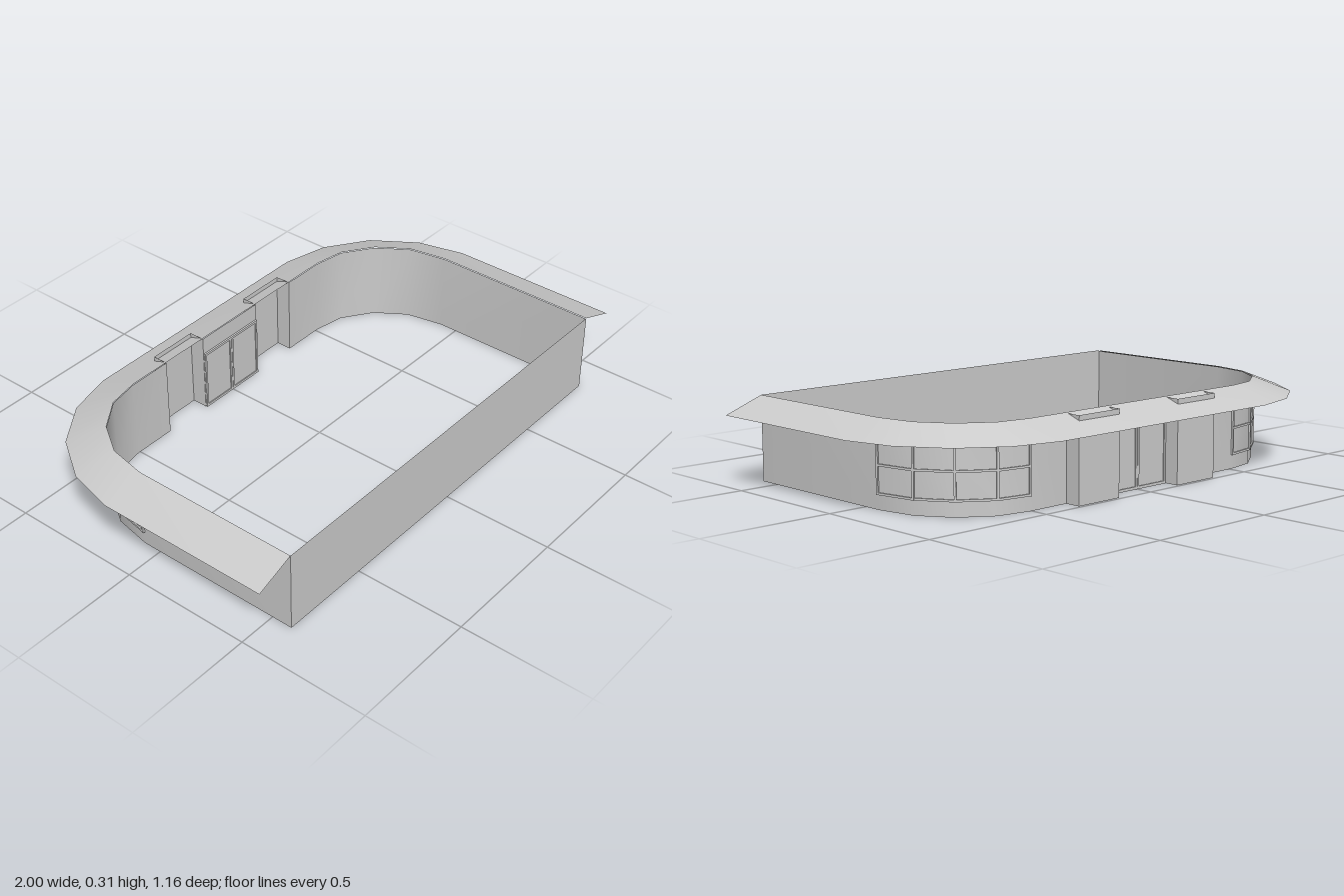
import * as THREE from 'three';
import { toCreasedNormals } from 'three/addons/utils/BufferGeometryUtils.js';

const HEIGHT = 0.31;
const FRONT = 0.58;
const BACK = -0.43;

const material = new THREE.MeshStandardMaterial({ color: 0xcccccc, side: THREE.DoubleSide });

function addMesh(parent, name, geometry) {
  const mesh = new THREE.Mesh(geometry, material);
  mesh.name = name;
  parent.add(mesh);
  return mesh;
}

// Mirror a half path (from +x to the middle) into a full path ending at -x
const mirrored = (half) => [...half, ...half.map(([x, z]) => [-x, z]).reverse()];

// Sheet stretched between two plan paths, each at its own height
function ribbon(pathA, yA, pathB, yB) {
  const positions = [];
  const index = [];
  pathA.forEach(([x, z], i) => {
    positions.push(x, yA, z, pathB[i][0], yB, pathB[i][1]);
    if (i > 0) {
      const k = 2 * i;
      index.push(k - 2, k, k - 1, k, k + 1, k - 1);
    }
  });
  const geometry = new THREE.BufferGeometry();
  geometry.setAttribute('position', new THREE.Float32BufferAttribute(positions, 3));
  geometry.setIndex(index);
  return toCreasedNormals(geometry, 0.6);
}

// Upright box running between two plan points
function bar(parent, name, a, b, y0, y1, depth) {
  const dx = b[0] - a[0];
  const dz = b[1] - a[1];
  const mesh = addMesh(parent, name, new THREE.BoxGeometry(Math.hypot(dx, dz), y1 - y0, depth));
  mesh.position.set((a[0] + b[0]) / 2, (y0 + y1) / 2, (a[1] + b[1]) / 2);
  mesh.rotation.y = Math.atan2(-dz, dx);
}

// Rounded corner of the wall and of the eaves
const corner = [[0.85, -0.07], [0.822, -0.215], [0.745, -0.33], [0.632, -0.408], [0.51, BACK]];
const eaves = [[1, -0.09], [0.955, -0.27], [0.845, -0.432], [0.685, -0.542], [0.51, -0.584]];

// Four-bay window following the rounded corner
function cornerWindow() {
  const group = new THREE.Group();
  const outset = (d) => corner.map(([x, z]) => {
    const v = new THREE.Vector2(x - 0.51, z + 0.07).normalize();
    return [x + v.x * d, z + v.y * d];
  });
  const low = 0.052, high = 0.253, half = 0.004;
  const pane = outset(0.003);
  addMesh(group, 'windowPanes', ribbon(pane, low, pane, high));
  const line = outset(0.005);
  for (const y of [low + half, (low + high) / 2, high - half]) {
    for (let i = 1; i < line.length; i++) {
      bar(group, 'windowRail', line[i - 1], line[i], y - half, y + half, 0.006);
    }
  }
  line.forEach((p, i) => {
    const q = line[Math.min(i + 1, line.length - 1)];
    const r = line[Math.max(i - 1, 0)];
    const d = new THREE.Vector2(q[0] - r[0], q[1] - r[1]).setLength(half);
    bar(group, 'windowPost', [p[0] - d.x, p[1] - d.y], [p[0] + d.x, p[1] + d.y], low, high, 0.007);
  });
  return group;
}

// Double door with frame, set in the back wall
function doubleDoor() {
  const group = new THREE.Group();
  group.name = 'doubleDoor';
  const w = 0.145, top = 0.24, t = 0.01;
  for (const side of [-1, 1]) {
    bar(group, 'doorLeaf', [Math.min(0, side * w), BACK], [Math.max(0, side * w), BACK], 0.002, top - 0.002, 0.006);
  }
  for (const x of [-w + t / 2, -t / 2, t / 2, w - t / 2]) {
    bar(group, 'doorStile', [x - t / 2 + 0.001, BACK], [x + t / 2 - 0.001, BACK], 0, top, 0.014);
  }
  for (const y of [0, top - t]) {
    bar(group, 'doorRail', [-w, BACK], [w, BACK], y, y + t, 0.014);
  }
  return group;
}

export function createModel() {
  const model = new THREE.Group();
  model.name = 'roundedBuilding';

  // Thin wall with two outward bays beside the door
  const bay = [[0.34, BACK], [0.34, -0.49], [0.147, -0.49], [0.147, BACK]];
  const wall = mirrored([[0.85, FRONT], ...corner, ...bay]);
  addMesh(model, 'curvedWall', ribbon(wall, 0, wall, HEIGHT - 0.003));

  const front = [[-0.85, FRONT], [0.85, FRONT]];
  addMesh(model, 'frontWall', ribbon(front, 0, front, HEIGHT));

  // Sloping roof overhang, open at the front
  const inner = mirrored([[0.85, FRONT], ...corner]);
  const outer = mirrored([[1, FRONT], ...eaves]);
  addMesh(model, 'roofOverhang', ribbon(outer, 0.254, inner, HEIGHT));

  for (const side of [1, -1]) {
    const win = cornerWindow();
    win.name = side > 0 ? 'leftWindow' : 'rightWindow';
    win.scale.x = side;
    model.add(win);
  }
  model.add(doubleDoor());
  return model;
}
